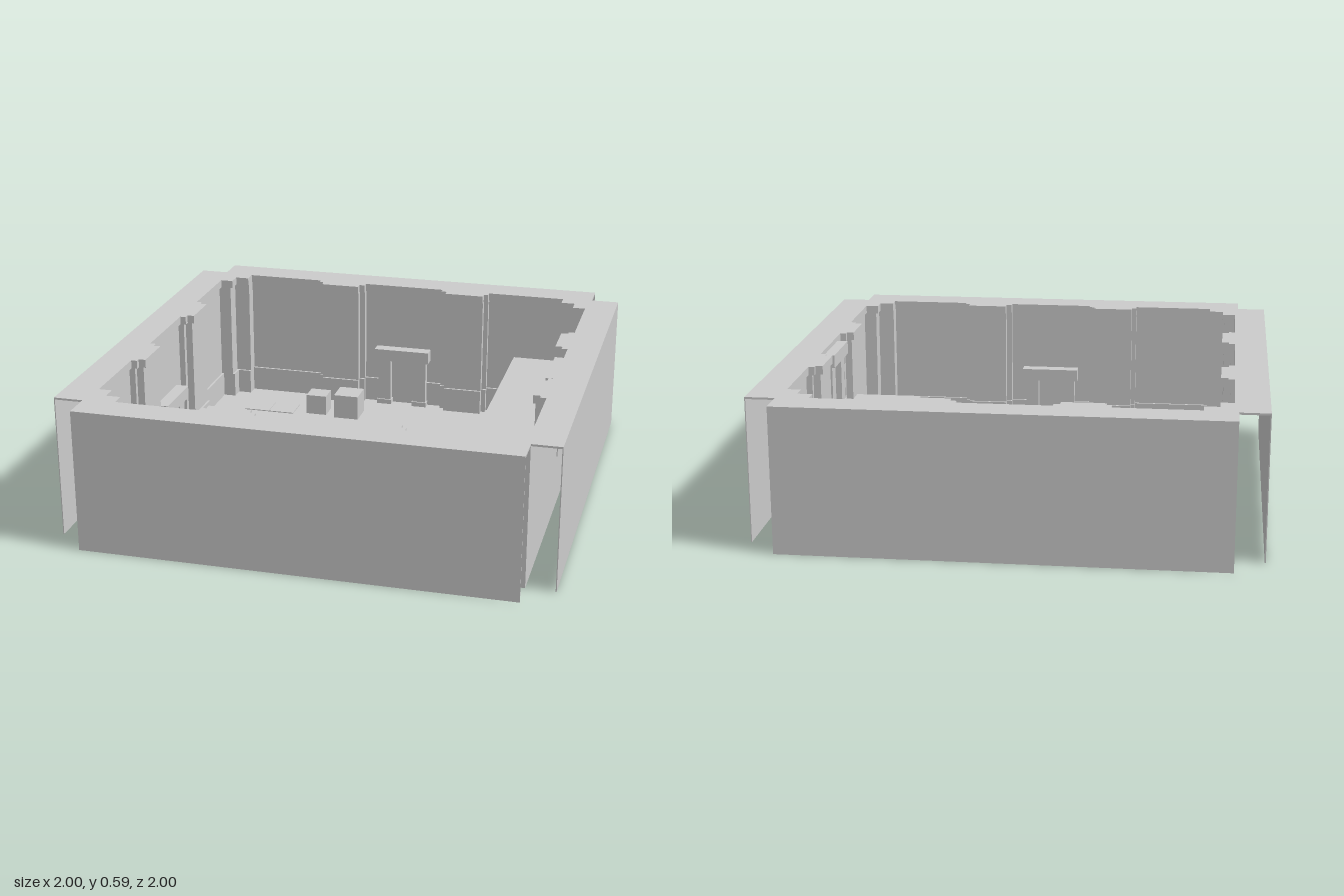
import * as THREE from 'three';

const mat = new THREE.MeshStandardMaterial({ color: 0xcccccc, flatShading: true });
const H = 0.59, BODY = 0.88, DECK = 0.285;

function add(parent, name, geometry) {
  const m = new THREE.Mesh(geometry, mat);
  m.name = name;
  parent.add(m);
  return m;
}

// Box given by its lower and upper limits
function box(parent, name, x0, x1, y0, y1, z0, z1) {
  const m = add(parent, name, new THREE.BoxGeometry(x1 - x0, y1 - y0, z1 - z0));
  m.position.set((x0 + x1) / 2, (y0 + y1) / 2, (z0 + z1) / 2);
  return m;
}

const square = s => [[-s, -s], [s, -s], [s, s], [-s, s]];

// Horizontal layer with an optional opening, between two heights
function layer(parent, name, outer, inner, y0, y1) {
  const toV = pts => pts.map(p => new THREE.Vector2(p[0], p[1]));
  const shape = new THREE.Shape(toV(outer));
  if (inner) shape.holes.push(new THREE.Path(toV(inner)));
  const g = new THREE.ExtrudeGeometry(shape, { depth: y1 - y0, bevelEnabled: false });
  g.rotateX(-Math.PI / 2);
  g.translate(0, y0, 0);
  return add(parent, name, g);
}

// Room outline: stepped pilasters and corner piers, repeated on four sides
function roomOutline(recess) {
  const half = [[0.81, 0.81], [0.75, 0.81], [0.75, 0.865], [0.405, 0.865], [0.405, 0.84],
    [0.385, 0.84], [0.385, 0.81], [0.21, 0.81], [0.21, 0.84], [0.185, 0.84], [0.185, 0.865]]
    .map(([u, d]) => [u === 0.81 ? u + recess : u, d + recess]);
  const side = [...half, ...half.slice(1).reverse().map(([u, d]) => [-u, d])];
  const pts = [];
  for (let k = 0; k < 4; k++) {
    const c = Math.round(Math.cos(k * Math.PI / 2)), s = Math.round(Math.sin(k * Math.PI / 2));
    side.forEach(([u, d]) => pts.push([u * c - d * s, u * s + d * c]));
  }
  return pts;
}

// Doorway against the +z wall: lintel, two jambs and the door leaf
function doorway(name, base) {
  const g = new THREE.Group();
  g.name = name;
  box(g, 'lintel', -0.13, 0.13, base + 0.23, base + 0.285, 0.82, 0.884);
  for (const s of [-1, 1]) {
    const x = s * 0.085;
    box(g, 'jamb', x - 0.03, x + 0.03, base, base + 0.23, 0.835, 0.878);
    box(g, 'jambFoot', x - 0.035, x + 0.035, base, base + 0.03, 0.828, 0.878);
  }
  box(g, 'doorLeaf', -0.055, 0.055, base, base + 0.23, 0.865, 0.878);
  return g;
}

export function createModel() {
  const root = new THREE.Group();
  root.name = 'room';

  // Inner walls with skirting, cornice and the top rim with notched corners
  const trim = roomOutline(0);
  layer(root, 'walls', square(BODY), roomOutline(0.01), 0, H - 0.01);
  layer(root, 'skirting', square(0.878), trim, 0.001, 0.12);
  layer(root, 'cornice', square(0.878), trim, 0.555, H - 0.005);
  const rim = [];
  for (const [sx, sz] of [[1, 1], [-1, 1], [-1, -1], [1, -1]]) {
    const corner = [[sx, sz * BODY], [sx * BODY, sz * BODY], [sx * BODY, sz]];
    rim.push(...(sx * sz > 0 ? corner : corner.reverse()));
  }
  layer(root, 'topRim', rim, trim, H - 0.008, H);

  // Thin outer panels, open below
  for (let k = 0; k < 4; k++) {
    const pivot = new THREE.Group();
    pivot.name = 'outerSide';
    pivot.rotation.y = k * Math.PI / 2;
    box(pivot, 'outerPanel', -BODY, BODY, 0, H, 0.996, 1);
    pivot.add(doorway('doorway', 0));
    if (k === 1) pivot.add(doorway('upperDoorway', DECK));
    root.add(pivot);
  }

  // Floor with a hollow central dais
  layer(root, 'floor', square(0.879), square(0.29), 0, 0.008);
  layer(root, 'daisEdge', square(0.295), square(0.287), 0.001, 0.045);
  layer(root, 'daisRing', square(0.292), square(0.19), 0.035, 0.045);
  layer(root, 'daisCentre', square(0.195), null, 0.035, 0.037);

  // Slightly raised floor tiles
  for (const [x, z] of [[-0.65, -0.65], [-0.53, -0.65], [-0.65, 0.53], [-0.53, 0.65], [0.53, 0.65], [0.65, 0.65]])
    box(root, 'floorTile', x - 0.059, x + 0.059, 0.002, 0.012, z - 0.059, z + 0.059);

  // Gallery on the left wall with a landing reaching the dais
  layer(root, 'gallery', [[0.53, -0.29], [0.872, -0.29], [0.872, 0.872], [0.53, 0.872],
    [0.53, 0.07], [0.29, 0.07], [0.29, -0.16], [0.53, -0.16]], null, DECK - 0.03, DECK);

  // Crates by the back wall
  box(root, 'smallCrate', -0.41, -0.315, 0, 0.1, -0.705, -0.615);
  box(root, 'largeCrate', -0.27, -0.155, 0, 0.12, -0.71, -0.595);

  return root;
}
